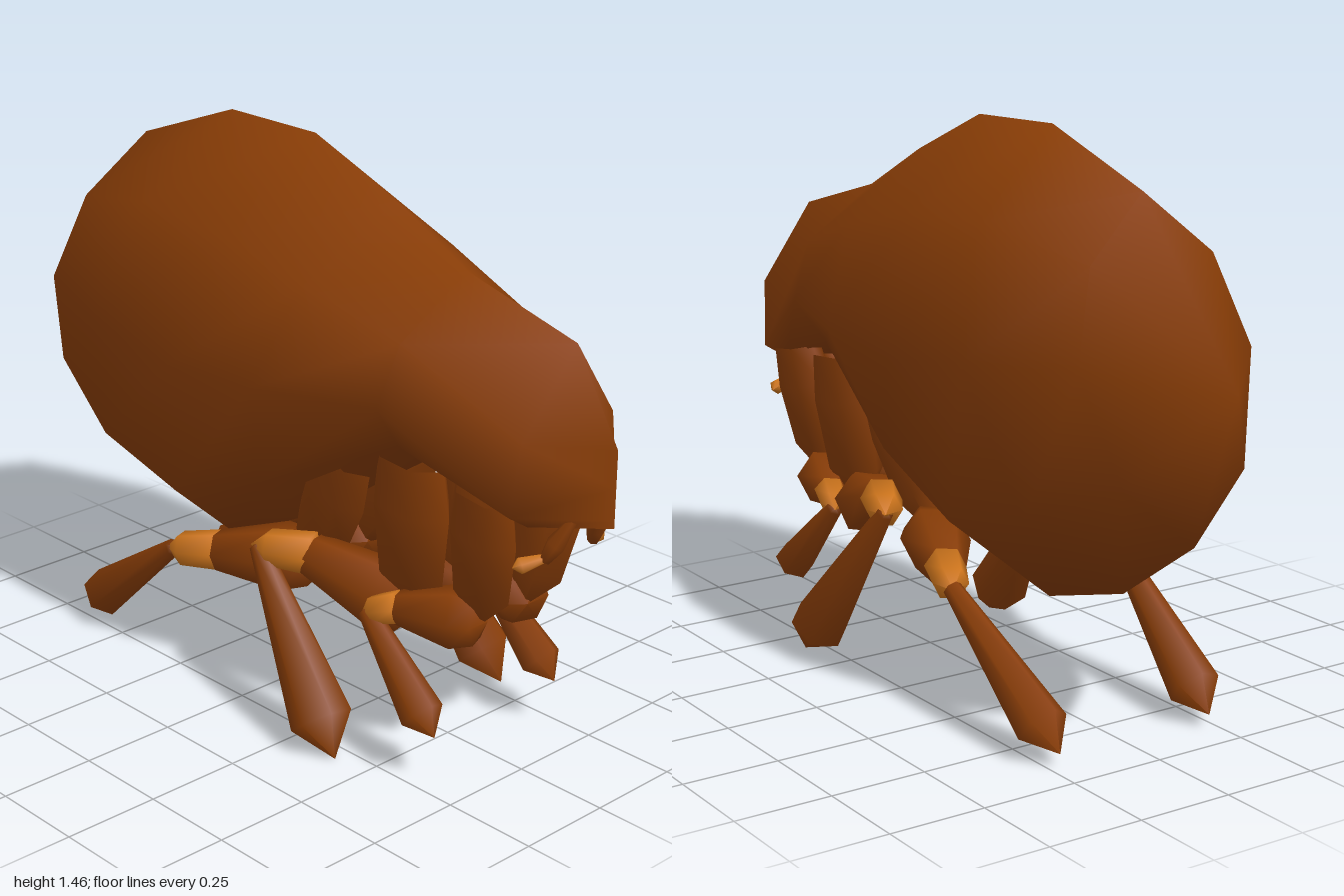
import * as THREE from 'three';

export function createModel() {
  const model = new THREE.Group();
  model.name = 'flea';
  const brown = new THREE.MeshStandardMaterial({ color: 0x873c06 });
  brown.name = 'shell brown';
  const amber = new THREE.MeshStandardMaterial({ color: 0xcc741c });
  amber.name = 'joint amber';

  // Body loft of tilted rings: [top z, top y, bottom z, bottom y, half width, jaw amount]
  const rings = [
    [1.0, 0.91, 1.0, 0.72, 0, 1],
    [0.87, 1.13, 0.83, 0.7, 0.17, 1],
    [0.53, 1.22, 0.48, 0.76, 0.262, 0.35],
    [0.29, 1.34, 0.02, 0.45, 0.355, 0],
    [0.01, 1.455, -0.3, 0.283, 0.368, 0],
    [-0.3, 1.46, -0.6, 0.37, 0.355, 0],
    [-0.65, 1.34, -0.86, 0.55, 0.25, 0],
    [-1.0, 0.93, -1.0, 0.93, 0, 0],
  ];
  // Half outlines from top to bottom as [width, height] fractions: round belly and square-jawed head
  const round = [[0, 1], [0.707, 0.81], [1, 0.53], [0.707, 0.19], [0, 0]];
  const jawed = [[0, 1], [0.93, 0.52], [1, 0.1], [0.6, 0], [0, 0]];
  const sides = 8, last = rings.length - 1, pos = [], index = [];
  rings.forEach(([tz, ty, bz, by, w, jaw], i) => {
    for (let j = 0; j < sides; j++) {
      const h = Math.min(j, sides - j), mirror = j > 4 ? -1 : 1;
      const x = THREE.MathUtils.lerp(round[h][0], jawed[h][0], jaw) * mirror;
      const k = THREE.MathUtils.lerp(round[h][1], jawed[h][1], jaw);
      pos.push(w * x, by + (ty - by) * k, bz + (tz - bz) * k);
      if (i < last) {
        const p = i * sides + j, q = i * sides + ((j + 1) % sides);
        index.push(p, q, p + sides, q, q + sides, p + sides);
      }
    }
  });
  const bodyGeo = new THREE.BufferGeometry();
  bodyGeo.setAttribute('position', new THREE.Float32BufferAttribute(pos, 3));
  bodyGeo.setIndex(index);
  bodyGeo.computeVertexNormals();
  // Smooth shading across the nose and tail tips
  for (let j = 0; j < sides; j++) {
    bodyGeo.attributes.normal.setXYZ(j, 0, 0, 1);
    bodyGeo.attributes.normal.setXYZ(last * sides + j, 0, 0, -1);
  }
  const body = new THREE.Mesh(bodyGeo, brown);
  body.name = 'body';
  model.add(body);

  // Six-sided limb segment from a to b; profile is [fraction, radius] pairs
  function segment(parent, name, mat, s, a, b, profile, flat = 1) {
    const A = new THREE.Vector3(a[0] * s, a[1], a[2]);
    const B = new THREE.Vector3(b[0] * s, b[1], b[2]);
    const dir = B.clone().sub(A), len = dir.length();
    const pts = profile.map(([t, r]) => new THREE.Vector2(r, t * len));
    const mesh = new THREE.Mesh(new THREE.LatheGeometry(pts, 6), mat);
    mesh.name = name;
    mesh.scale.x = flat;
    mesh.position.copy(A);
    mesh.quaternion.setFromUnitVectors(new THREE.Vector3(0, 1, 0), dir.normalize());
    parent.add(mesh);
  }

  // Leg landmarks from the body outwards: hip, coxa end, knee start, knee end, foot
  const legs = [
    { name: 'front', hip: [0.13, 0.76, 0.72], low: [0.08, 0.4, 0.67], knee: [0.17, 0.4, 0.485],
      kneeEnd: [0.2, 0.375, 0.41], foot: [0.215, 0.13, 0.66], coxa: 0.105, femur: 0.08, joint: 0.043, shin: 0.055, wide: 0.82 },
    { name: 'middle', hip: [0.13, 0.78, 0.485], low: [0.09, 0.36, 0.45], knee: [0.185, 0.45, 0.195],
      kneeEnd: [0.25, 0.45, 0.07], foot: [0.3, 0.0, 0.405], coxa: 0.125, femur: 0.09, joint: 0.056, shin: 0.08, wide: 0.82 },
    { name: 'hind', hip: [0.13, 0.72, 0.26], low: [0.09, 0.375, 0.1], knee: [0.205, 0.355, -0.14],
      kneeEnd: [0.26, 0.34, -0.255], foot: [0.225, 0.035, -0.66], coxa: 0.105, femur: 0.092, joint: 0.054, shin: 0.066, wide: 0.84 },
  ];
  for (const s of [1, -1]) {
    const side = s > 0 ? 'Left' : 'Right';
    for (const L of legs) {
      const leg = new THREE.Group();
      leg.name = L.name + side + 'Leg';
      model.add(leg);
      segment(leg, 'coxa', brown, s, L.low, L.hip,
        [[-0.04, 0], [0.25, L.coxa * 0.85], [0.7, L.coxa], [1, L.coxa * 0.85]], 0.6);
      segment(leg, 'femur', brown, s, L.low, L.knee,
        [[-0.1, 0], [0.02, L.femur * 0.8], [0.3, L.femur], [1, L.joint], [1.05, 0]]);
      segment(leg, 'knee', amber, s, L.knee, L.kneeEnd,
        [[-0.12, 0], [-0.04, L.joint], [0.8, L.joint * 0.85], [1.15, 0]]);
      segment(leg, 'shin', brown, s, L.kneeEnd, L.foot,
        [[-0.02, 0], [0, 0.024], [L.wide, L.shin], [1, 0]]);
    }
    // Small feeler under the head, turning outwards at the elbow
    const feeler = new THREE.Group();
    feeler.name = 'feeler' + side;
    model.add(feeler);
    segment(feeler, 'feelerBase', brown, s, [0.05, 0.73, 0.92], [0.085, 0.625, 0.87],
      [[0, 0.012], [0.6, 0.024], [1, 0.014], [1.05, 0]]);
    segment(feeler, 'feelerTip', amber, s, [0.08, 0.63, 0.87], [0.15, 0.612, 0.83],
      [[0, 0], [0.05, 0.012], [0.75, 0.022], [1, 0]]);
  }
  return model;
}
